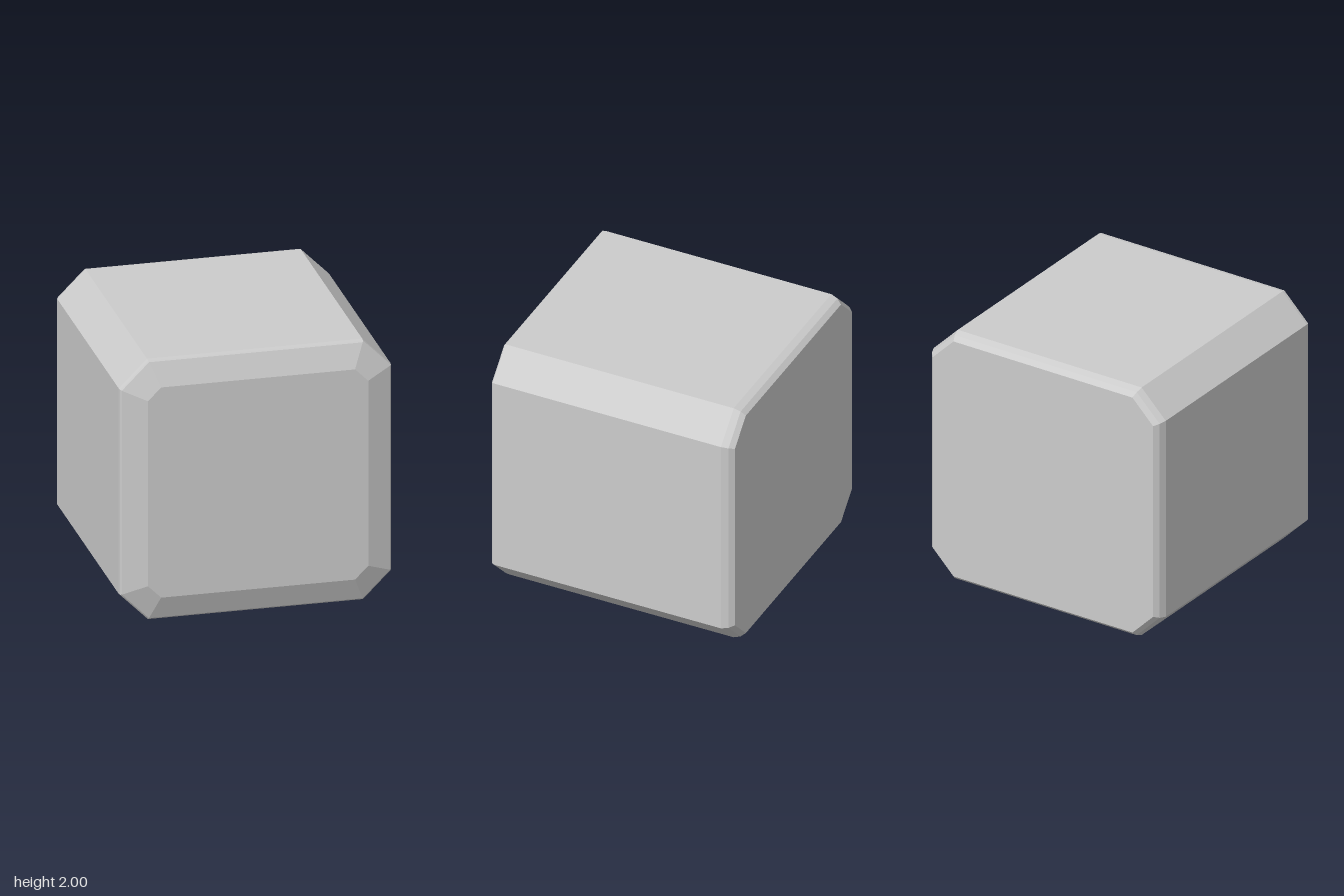
import * as THREE from 'three';

const material = new THREE.MeshStandardMaterial({ color: 0xcccccc, flatShading: true });

// Octagon with chamfered corners, anticlockwise seen from +z
function octagon(hw, hh, c, z) {
  return [
    [hw, -hh + c], [hw, hh - c], [hw - c, hh], [-hw + c, hh],
    [-hw, hh - c], [-hw, -hh + c], [-hw + c, -hh], [hw - c, -hh],
  ].map(([x, y]) => new THREE.Vector3(x, y, z));
}

// Closed solid through a list of rings running from -z to +z
function loft(rings) {
  const n = rings[0].length;
  const pos = [];
  const tri = (...pts) => pts.forEach((p) => pos.push(p.x, p.y, p.z));
  for (let r = 0; r < rings.length - 1; r++) {
    const a = rings[r], b = rings[r + 1];
    for (let i = 0; i < n; i++) {
      const j = (i + 1) % n;
      tri(a[i], a[j], b[j]);
      tri(a[i], b[j], b[i]);
    }
  }
  const back = rings[0], front = rings[rings.length - 1];
  for (let i = 1; i < n - 1; i++) {
    tri(back[0], back[i + 1], back[i]);
    tri(front[0], front[i], front[i + 1]);
  }
  const geometry = new THREE.BufferGeometry();
  geometry.setAttribute('position', new THREE.Float32BufferAttribute(pos, 3));
  geometry.computeVertexNormals();
  return geometry;
}

export function createModel() {
  const group = new THREE.Group();

  // Body: octagonal block, [z, inset] from the rounded back to the bevelled front
  const sections = [
    [-0.975, 0.05], [-0.94, 0.018], [-0.89, 0],
    [0.875, 0], [0.9, 0.004], [0.91, 0.014], [0.975, 0.187],
  ];
  const body = new THREE.Mesh(
    loft(sections.map(([z, d]) =>
      octagon(0.986 - d, 0.982 - d, 0.205 - d * (2 - Math.SQRT2), z))),
    material,
  );
  body.name = 'body';
  body.position.y = 1.018;
  group.add(body);

  // Foot: shallow tapered square pad under the front half
  const footGeometry = new THREE.CylinderGeometry(0.215 * Math.SQRT2, 0.195 * Math.SQRT2, 0.04, 4);
  footGeometry.rotateY(Math.PI / 4);
  const foot = new THREE.Mesh(footGeometry, material);
  foot.name = 'foot';
  foot.position.set(0, 0.02, 0.477);
  group.add(foot);

  return group;
}
